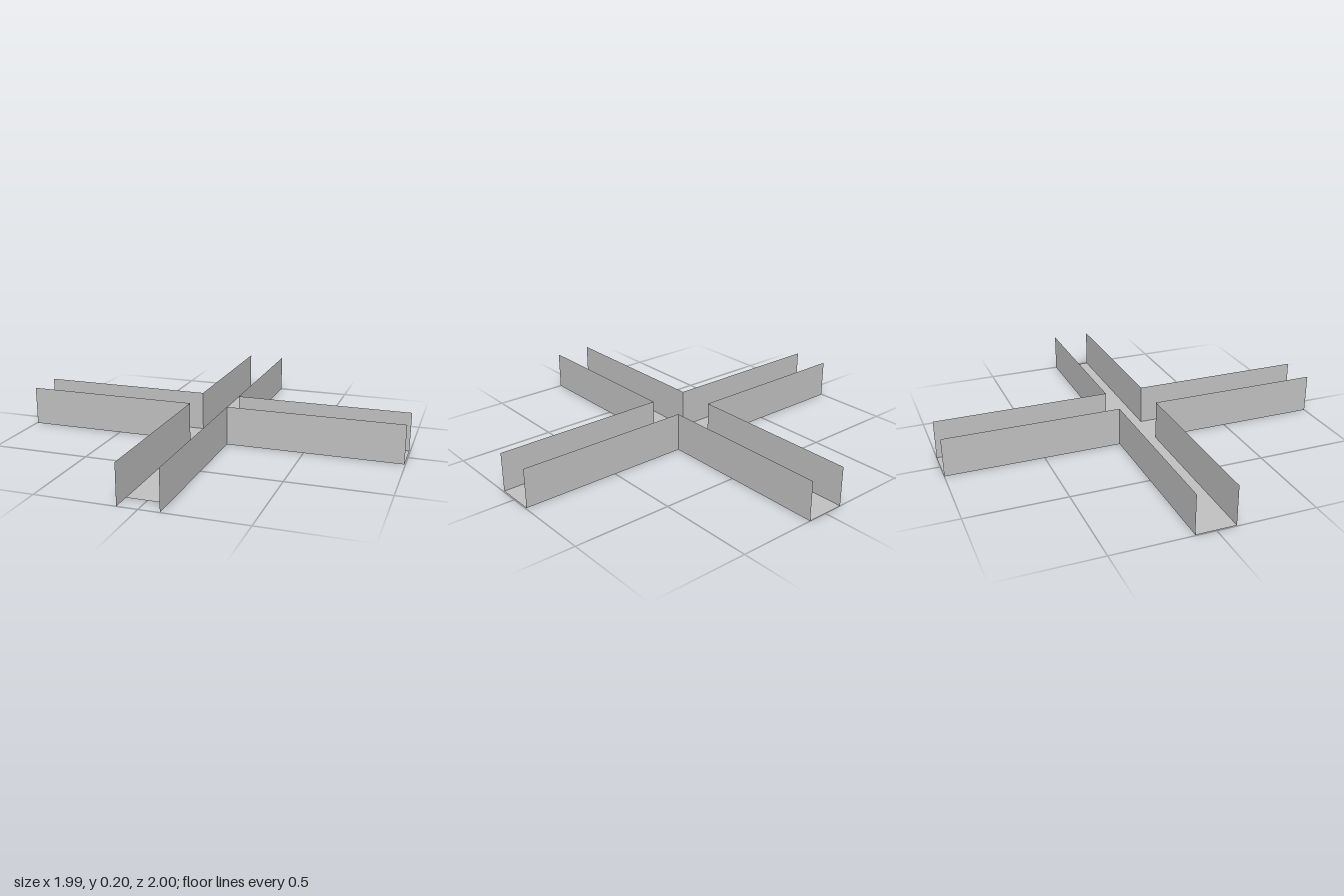
import * as THREE from 'three';

const HALF = 0.1;    // half the channel width
const HEIGHT = 0.2;  // wall height

export function createModel() {
  const group = new THREE.Group();
  const grey = new THREE.MeshStandardMaterial({ color: 0xc0c0c0, side: THREE.DoubleSide });
  grey.name = 'plain grey';

  // Cross-shaped floor; the front arm stops short of its walls
  const left = 0.995, right = -0.995, front = -0.9, back = 1;
  const outline = [
    [right, -HALF], [-HALF, -HALF], [-HALF, front], [HALF, front],
    [HALF, -HALF], [left, -HALF], [left, HALF], [HALF, HALF],
    [HALF, back], [-HALF, back], [-HALF, HALF], [right, HALF],
  ].map(([x, y]) => new THREE.Vector2(x, y));
  const floor = new THREE.Mesh(new THREE.ShapeGeometry(new THREE.Shape(outline)), grey);
  floor.geometry.rotateX(-Math.PI / 2);
  floor.name = 'floor';
  group.add(floor);

  // A pair of thin walls along each of the four arms
  const arms = [['left', 0.995], ['back', 1], ['right', 0.995], ['front', 1]];
  arms.forEach(([name, end], i) => {
    const arm = new THREE.Group();
    arm.name = name + 'ArmWalls';
    for (const side of [-1, 1]) {
      const wall = new THREE.Mesh(new THREE.PlaneGeometry(end - HALF, HEIGHT), grey);
      wall.name = 'wall';
      if (side < 0) wall.geometry.rotateY(Math.PI);
      wall.position.set((end + HALF) / 2, HEIGHT / 2, side * HALF);
      arm.add(wall);
    }
    arm.rotation.y = i * Math.PI / 2;
    group.add(arm);
  });

  return group;
}
